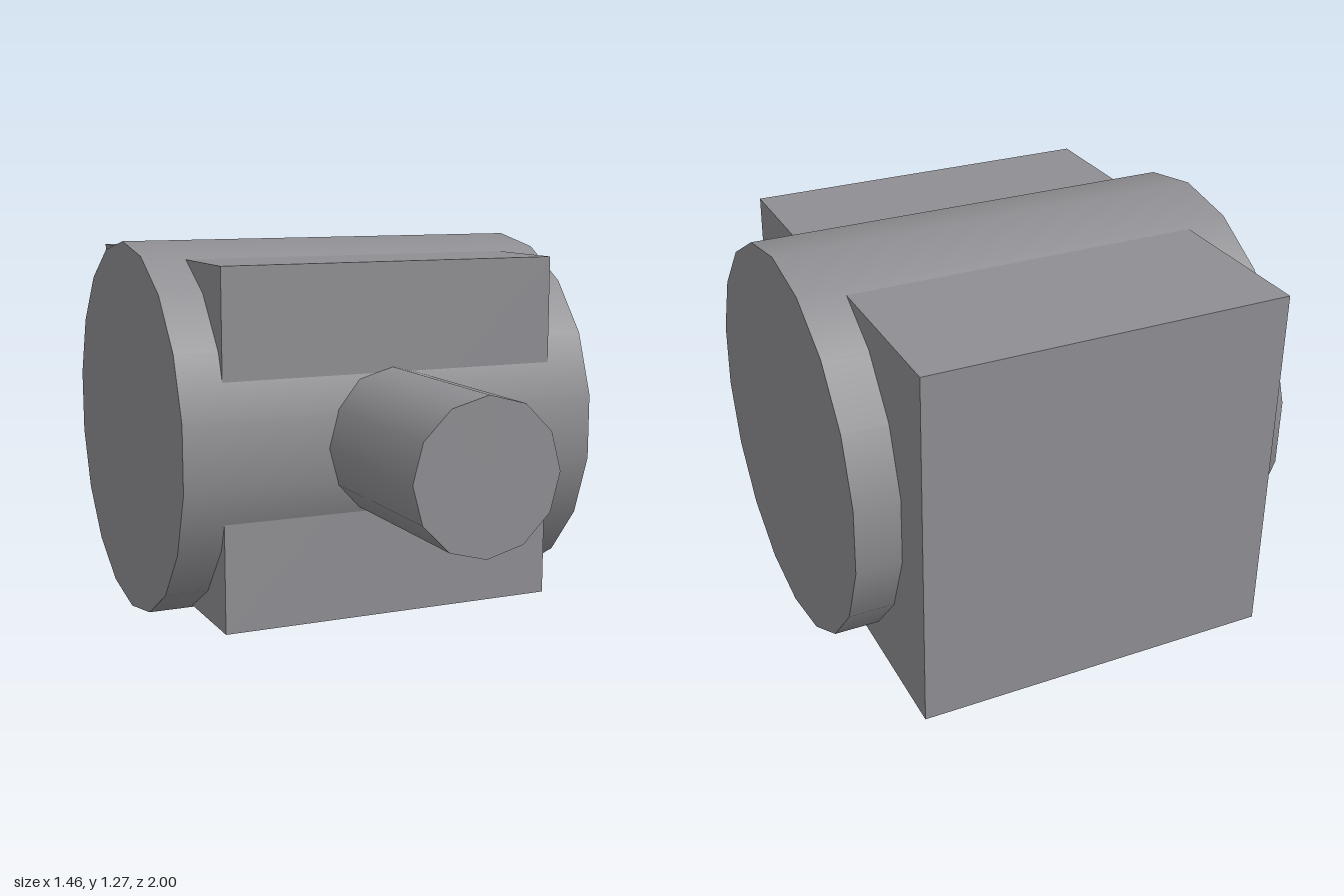
import * as THREE from 'three';

export function createModel() {
  const group = new THREE.Group();
  const grey = new THREE.MeshStandardMaterial({ color: 0x8f8e92 });
  grey.name = 'grey';

  const add = (name, geometry, x, y, z) => {
    const mesh = new THREE.Mesh(geometry, grey);
    mesh.name = name;
    mesh.position.set(x, y, z);
    group.add(mesh);
  };

  const axisY = 0.636;

  // Wide drum lying across the body, with a corner at its top
  const drum = new THREE.CylinderGeometry(0.636, 0.636, 1.46, 18, 1, false, Math.PI / 2);
  add('drum', drum.rotateZ(Math.PI / 2), 0, axisY, -0.218);

  // Square housing block through the drum
  add('housing', new THREE.BoxGeometry(1.17, 1.17, 1.366), 0, axisY, -0.317);

  // Round spout pointing forward, rooted inside the drum
  const spout = new THREE.CylinderGeometry(0.243, 0.243, 0.9, 12);
  add('spout', spout.rotateX(Math.PI / 2), 0, axisY, 0.55);

  return group;
}
